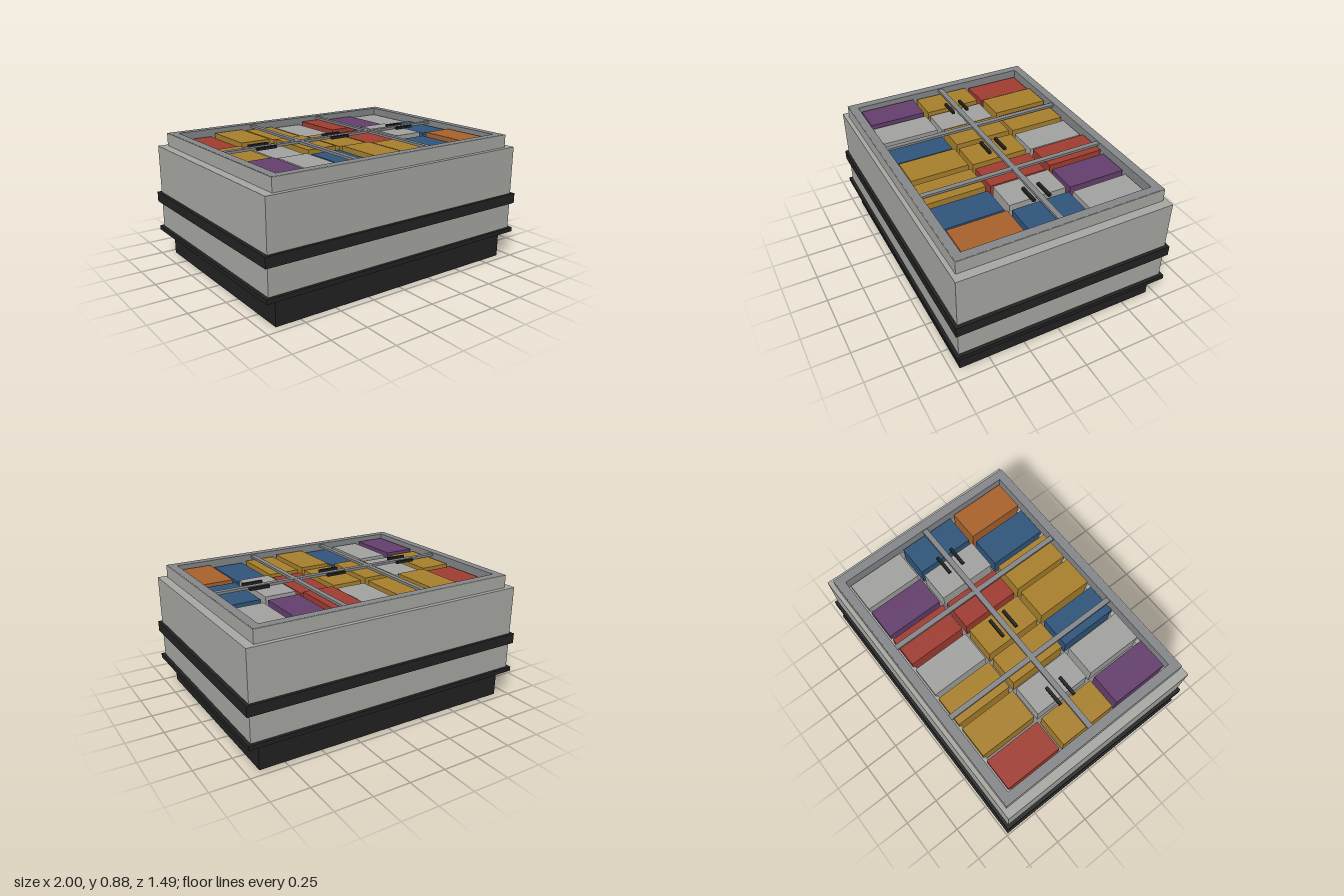
import * as THREE from 'three';

const mat = (name, color) => {
  const m = new THREE.MeshStandardMaterial({ color });
  m.name = name;
  return m;
};

export function createModel() {
  const group = new THREE.Group();
  const shell = mat('light grey', 0xa8a8a3);
  const frame = mat('frame grey', 0x85878a);
  const black = mat('black', 0x222222);
  const goods = {
    r: mat('red', 0xa03c31),
    y: mat('mustard', 0xa8802c),
    w: mat('pale grey', 0xa2a3a0),
    p: mat('purple', 0x643f6d),
    b: mat('blue', 0x2f557b),
    o: mat('orange', 0xa8622c),
  };

  const add = (name, geometry, material) => {
    const mesh = new THREE.Mesh(geometry, material);
    mesh.name = name;
    group.add(mesh);
    return mesh;
  };

  const box = (name, x0, x1, y0, y1, z0, z1, material) =>
    add(name, new THREE.BoxGeometry(x1 - x0, y1 - y0, z1 - z0), material)
      .position.set((x0 + x1) / 2, (y0 + y1) / 2, (z0 + z1) / 2);

  // Rectangular ring from half sizes, with walls of thickness t
  const ring = (name, hx, hz, t, y0, y1, material) => {
    const rect = (target, a, b) => {
      target.moveTo(-a, -b);
      target.lineTo(a, -b);
      target.lineTo(a, b);
      target.lineTo(-a, b);
      target.closePath();
      return target;
    };
    const shape = rect(new THREE.Shape(), hx, hz);
    shape.holes.push(rect(new THREE.Path(), hx - t, hz - t));
    const geometry = new THREE.ExtrudeGeometry(shape, { depth: y1 - y0, bevelEnabled: false });
    geometry.rotateX(-Math.PI / 2).translate(0, y0, 0);
    add(name, geometry, material);
  };

  // Hollow plinth, cabinet walls and bumper bands
  ring('plinth', 0.918, 0.698, 0.006, 0, 0.18, black);
  ring('cabinetWalls', 0.977, 0.727, 0.12, 0.18, 0.79, shell);
  ring('lowerBand', 1, 0.747, 0.03, 0.18, 0.21, black);
  ring('middleBand', 1, 0.747, 0.03, 0.39, 0.46, black);
  box('underside', -0.977, 0.977, 0.177, 0.185, -0.727, 0.727, frame);

  // Raised collar with a darker rim and lining
  ring('collar', 0.918, 0.698, 0.004, 0.79, 0.877, shell);
  ring('rim', 0.914, 0.694, 0.056, 0.7, 0.878, frame);
  box('wellFloor', -0.86, 0.86, 0.69, 0.7, -0.64, 0.64, frame);

  // Packages in three rows of seven, at slightly different heights
  const rows = ['ryywrpw', 'ywyyrwb', 'pwbyybo'];
  rows.forEach((row, j) => [...row].forEach((key, i) => {
    const x = (i - 3) * 0.245, z = (j - 1) * 0.425;
    const top = 0.83 + 0.01 * ((i * 2 + j) % 3);
    box('package', x - 0.106, x + 0.106, 0.7, top, z - 0.196, z + 0.196, goods[key]);
  }));

  // Lid bars
  box('centreBar', -0.86, 0.86, 0.853, 0.87, -0.02, 0.016, frame);
  for (const x of [-0.288, 0.288]) {
    box('crossBar', x - 0.017, x + 0.017, 0.853, 0.869, -0.64, 0.64, frame);
  }

  // Lid handles on both sides of the centre bar
  for (const x of [-0.57, 0, 0.57]) {
    for (const z of [-0.056, 0.052]) {
      box('handle', x - 0.07, x + 0.07, 0.858, 0.875, z - 0.01, z + 0.01, black);
    }
  }
  return group;
}
